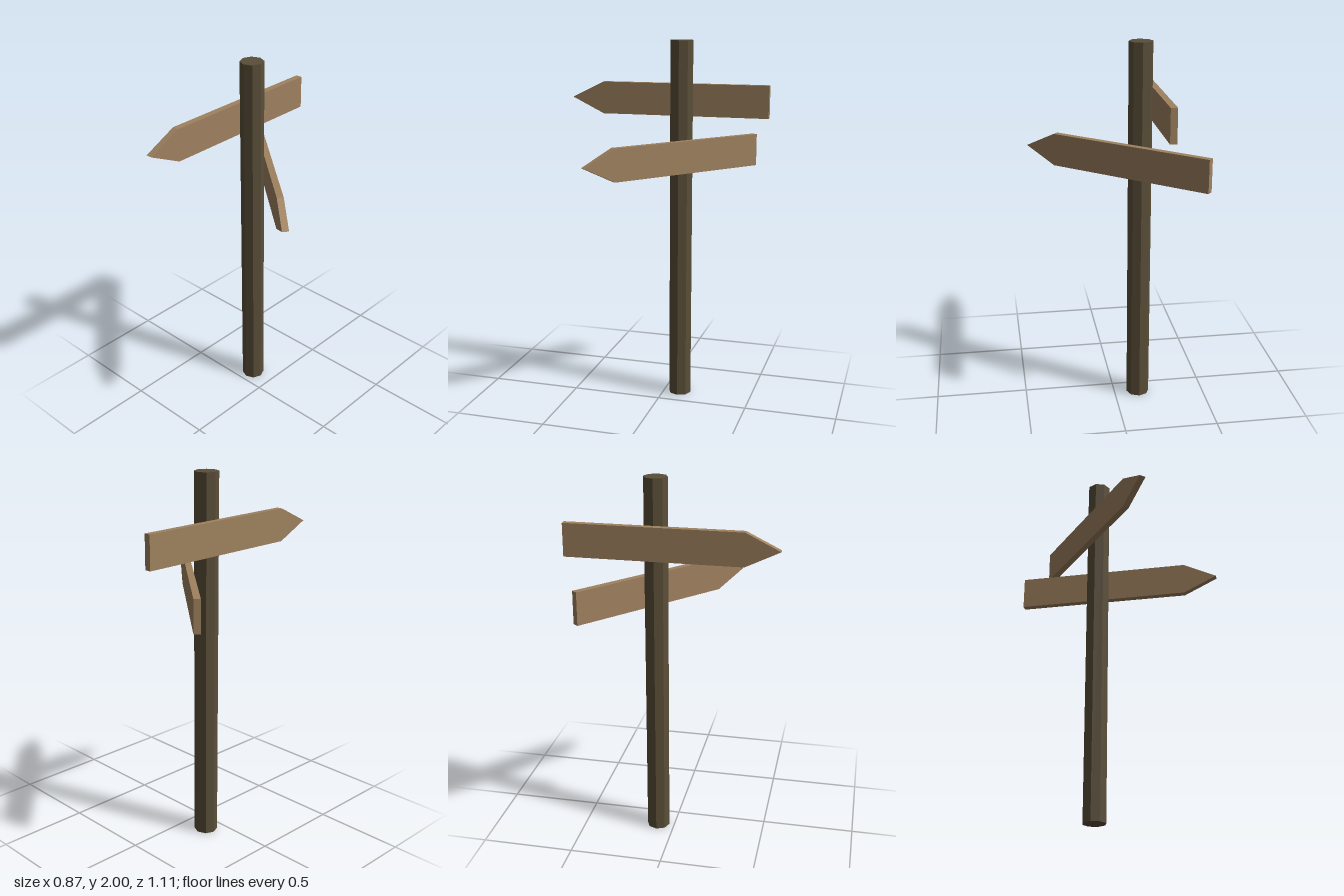
import * as THREE from 'three';

const LENGTH = 1.11, HEIGHT = 0.176, THICKNESS = 0.035, TIP = 0.18;

// Pointed board along +x, centred on its own origin
function makeBoard(name, material, x, y, z, degrees) {
  const l = LENGTH / 2, h = HEIGHT / 2;
  const shape = new THREE.Shape([
    new THREE.Vector2(-l, -h),
    new THREE.Vector2(l - TIP, -h),
    new THREE.Vector2(l, 0),
    new THREE.Vector2(l - TIP, h),
    new THREE.Vector2(-l, h),
  ]);
  const geometry = new THREE.ExtrudeGeometry(shape, { depth: THICKNESS, bevelEnabled: false });
  geometry.translate(0, 0, -THICKNESS / 2);
  const board = new THREE.Mesh(geometry, material);
  board.name = name;
  board.position.set(x, y, z);
  board.rotation.y = THREE.MathUtils.degToRad(degrees);
  return board;
}

export function createModel() {
  const group = new THREE.Group();
  group.name = 'signpost';
  const postWood = new THREE.MeshStandardMaterial({ color: 0x5a4e38, flatShading: true });
  const boardWood = new THREE.MeshStandardMaterial({ color: 0xa08260, flatShading: true });

  // Octagonal post
  const post = new THREE.Mesh(new THREE.CylinderGeometry(0.063, 0.063, 2, 8), postWood);
  post.name = 'post';
  post.position.set(-0.133, 1, -0.091);
  group.add(post);

  // Upper board points to the front, lower board to the front left
  group.add(makeBoard('upperBoard', boardWood, -0.2115, 1.676, 0, -90));
  group.add(makeBoard('lowerBoard', boardWood, -0.0015, 1.385, -0.084, -40));

  return group;
}
